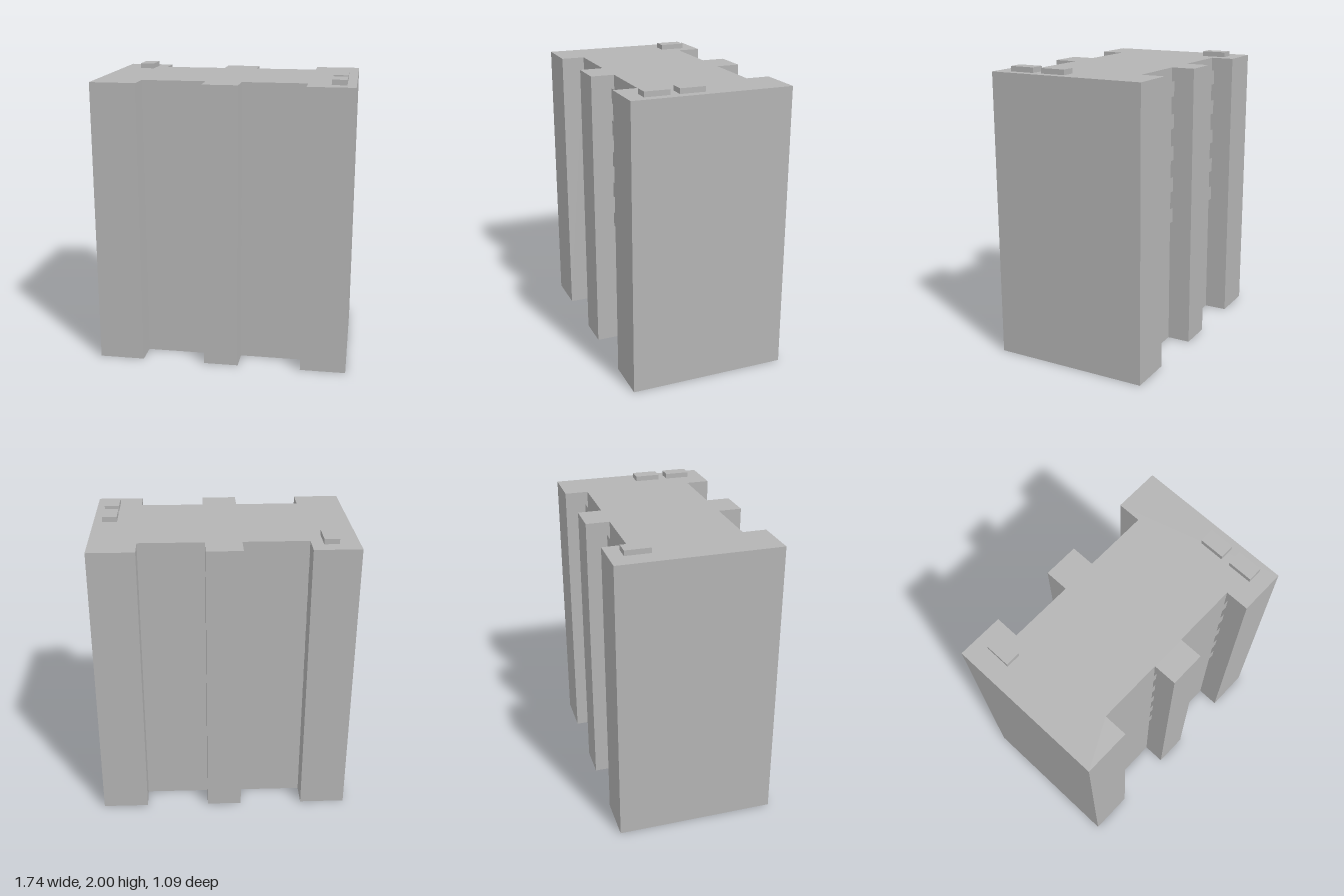
import * as THREE from 'three';

const ROOF_Y = 1.965;
const SIDE = 0.87, BAY_OUT = 0.557, BAY_IN = 0.12; // x of the outer wall and bay edges
const FRONT = 0.543, RECESS = 0.382;               // z of the piers and recessed bays

export function createModel() {
  const concrete = new THREE.MeshStandardMaterial({ color: 0xb4b4b4, side: THREE.DoubleSide });
  concrete.name = 'concrete grey';
  const model = new THREE.Group();
  model.name = 'apartmentBlock';
  const add = (name, geometry, x = 0, y = 0, z = 0) => {
    const mesh = new THREE.Mesh(geometry, concrete);
    mesh.name = name;
    mesh.position.set(x, y, z);
    model.add(mesh);
    return mesh;
  };

  // Half of the footprint along the front, left to right; the back is its half turn
  const half = [
    [-SIDE, FRONT], [-BAY_OUT, FRONT], [-BAY_OUT, RECESS], [-BAY_IN, RECESS],
    [-BAY_IN, FRONT], [BAY_IN, FRONT], [BAY_IN, RECESS], [BAY_OUT, RECESS],
    [BAY_OUT, FRONT], [SIDE, FRONT],
  ];
  const outline = [...half, ...half.map(([x, z]) => [-x, -z])];

  // Walls: one quad per footprint edge, open underneath
  const positions = [];
  outline.forEach(([x0, z0], i) => {
    const [x1, z1] = outline[(i + 1) % outline.length];
    positions.push(x0, 0, z0, x1, 0, z1, x1, ROOF_Y, z1);
    positions.push(x0, 0, z0, x1, ROOF_Y, z1, x0, ROOF_Y, z0);
  });
  const walls = new THREE.BufferGeometry();
  walls.setAttribute('position', new THREE.Float32BufferAttribute(positions, 3));
  walls.computeVertexNormals();
  add('walls', walls);

  // Flat roof with the same notched outline
  const roofShape = new THREE.Shape(outline.map(([x, z]) => new THREE.Vector2(x, -z)));
  const roof = new THREE.ShapeGeometry(roofShape);
  roof.rotateX(-Math.PI / 2);
  add('roof', roof, 0, ROOF_Y, 0);

  // Balcony panels: five in each recessed bay, front and back
  const panel = new THREE.PlaneGeometry(BAY_OUT - BAY_IN - 0.004, 0.102);
  const bayX = (BAY_OUT + BAY_IN) / 2;
  for (const face of [1, -1]) {
    for (const side of [1, -1]) {
      for (let floor = 0; floor < 5; floor++) {
        const mesh = add('balconyPanel', panel, side * bayX, 0.938 + floor * 0.2215, face * (RECESS + 0.02));
        if (face < 0) mesh.rotation.y = Math.PI;
      }
    }
  }

  // Small roof units
  const unit = new THREE.BoxGeometry(0.1, 0.035, 0.172);
  for (const [x, z] of [[-0.687, -0.36], [0.76, 0.116], [0.76, 0.35]]) {
    add('roofUnit', unit, x, ROOF_Y + 0.0175, z);
  }
  return model;
}
